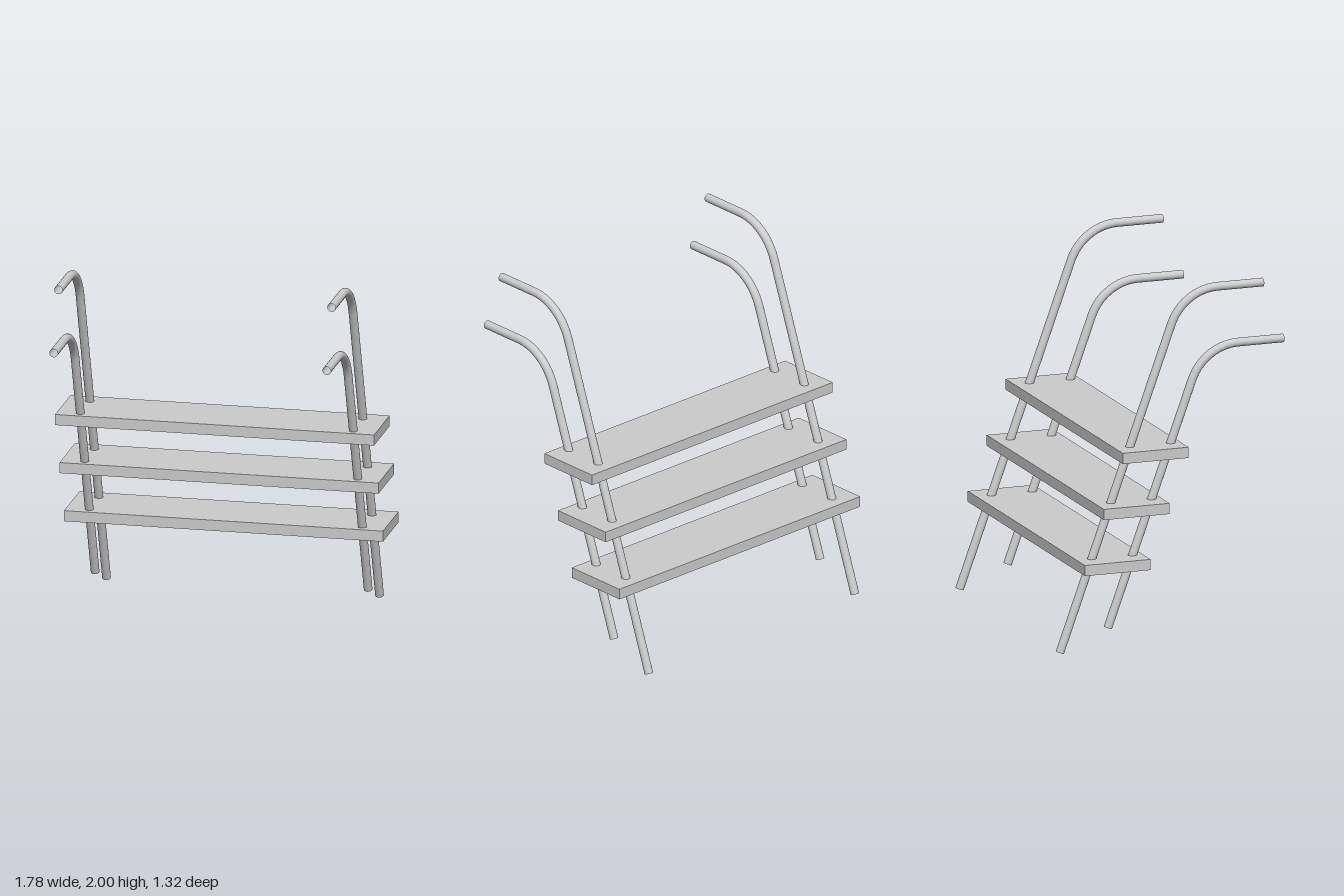
import * as THREE from 'three';

const TILT = THREE.MathUtils.degToRad(20); // lean of the rails from vertical
const RADIUS = 0.0235;
const RAIL_X = 0.76;

// Leaning rail that bends forward into a horizontal handle
function railPath(footY, footZ, topY, tipZ) {
  const point = (y, z) => new THREE.Vector3(0, y, z);
  const corner = point(topY, footZ + (topY - footY) * Math.tan(TILT));
  const reach = 0.2; // distance from the corner to where the bend starts
  const up = point(Math.cos(TILT), Math.sin(TILT));
  const forward = point(0, 1);
  const along = (dir, d) => corner.clone().addScaledVector(dir, d);
  const bendStart = along(up, -reach);
  const bendEnd = along(forward, reach);

  const path = new THREE.CurvePath();
  path.add(new THREE.LineCurve3(point(footY, footZ), bendStart));
  path.add(new THREE.CubicBezierCurve3(
    bendStart, along(up, -reach * 0.4), along(forward, reach * 0.4), bendEnd));
  path.add(new THREE.LineCurve3(bendEnd, point(topY, tipZ)));
  return path;
}

export function createModel() {
  const model = new THREE.Group();
  model.name = 'ladderSteps';
  const stepMaterial = new THREE.MeshStandardMaterial({ color: 0xcccccc });
  const tubeMaterial = new THREE.MeshStandardMaterial({ color: 0xcccccc, side: THREE.DoubleSide });

  // Handrails: a front and a rear open tube on each side
  const rails = {
    FrontRail: railPath(0.122, -0.359, 1.653, 0.66),
    RearRail: railPath(0.008, -0.638, 1.9765, 0.542),
  };
  for (const [name, path] of Object.entries(rails)) {
    const geometry = new THREE.TubeGeometry(path, 90, RADIUS, 20, false);
    for (const side of [-1, 1]) {
      const rail = new THREE.Mesh(geometry, tubeMaterial);
      rail.name = (side > 0 ? 'left' : 'right') + name;
      rail.position.x = side * RAIL_X;
      model.add(rail);
    }
  }

  // Three flat steps, each set further forward than the one below
  const stepGeometry = new THREE.BoxGeometry(1.776, 0.06, 0.382);
  for (let i = 0; i < 3; i++) {
    const step = new THREE.Mesh(stepGeometry, stepMaterial);
    step.name = `step${i + 1}`;
    step.position.set(0, 0.487 + i * 0.304, -0.35 + i * 0.11);
    model.add(step);
  }
  return model;
}
